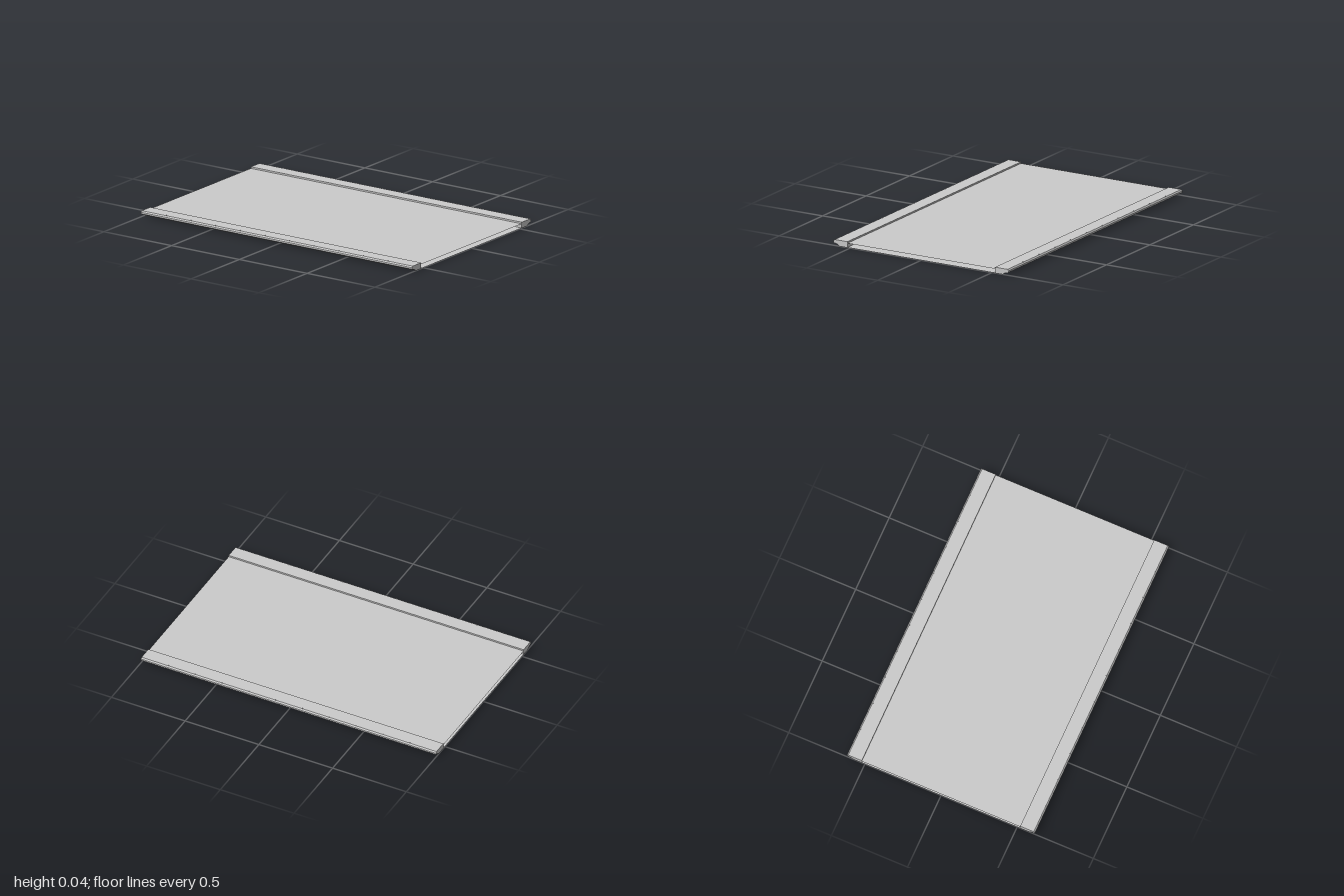
import * as THREE from 'three';

const LENGTH = 2, INNER = 0.52;

export function createModel() {
  const group = new THREE.Group();
  const solid = new THREE.MeshStandardMaterial({ color: 0xcccccc, flatShading: true });
  const sheet = new THREE.MeshStandardMaterial({ color: 0xcccccc, side: THREE.DoubleSide });

  // Rail cross-section, shared by both sides
  const profile = [
    [INNER, 0], [0.575, 0], [0.59, 0.012], [0.612, 0.016], [0.617, 0.019],
    [0.617, 0.029], [0.609, 0.037], [INNER, 0.037],
  ];
  const railGeometry = new THREE.ExtrudeGeometry(
    new THREE.Shape(profile.map(([x, y]) => new THREE.Vector2(x, y))),
    { depth: LENGTH, bevelEnabled: false },
  );
  railGeometry.translate(0, 0, -LENGTH / 2);
  const studGeometry = new THREE.CylinderGeometry(0.002, 0.005, 0.008, 8);

  // Side rails with a row of small studs along the outer top edge
  for (const [name, turn] of [['left', 0], ['right', Math.PI]]) {
    const side = new THREE.Group();
    side.name = name + 'Side';
    side.rotation.y = turn;
    const rail = new THREE.Mesh(railGeometry, solid);
    rail.name = name + 'Rail';
    side.add(rail);
    for (let i = 1; i <= 10; i++) {
      const stud = new THREE.Mesh(studGeometry, solid);
      stud.name = name + 'Stud' + i;
      stud.position.set(0.608, 0.037, -LENGTH / 2 + (i * LENGTH) / 11);
      side.add(stud);
    }
    group.add(side);
  }

  // Thin deck sheets spanning the rails, open at the ends
  for (const [name, y, tilt] of [['topSheet', 0.027, -1], ['bottomSheet', 0.001, 1]]) {
    const deck = new THREE.Mesh(new THREE.PlaneGeometry(2 * INNER, LENGTH), sheet);
    deck.name = name;
    deck.rotation.x = (tilt * Math.PI) / 2;
    deck.position.y = y;
    group.add(deck);
  }
  return group;
}
